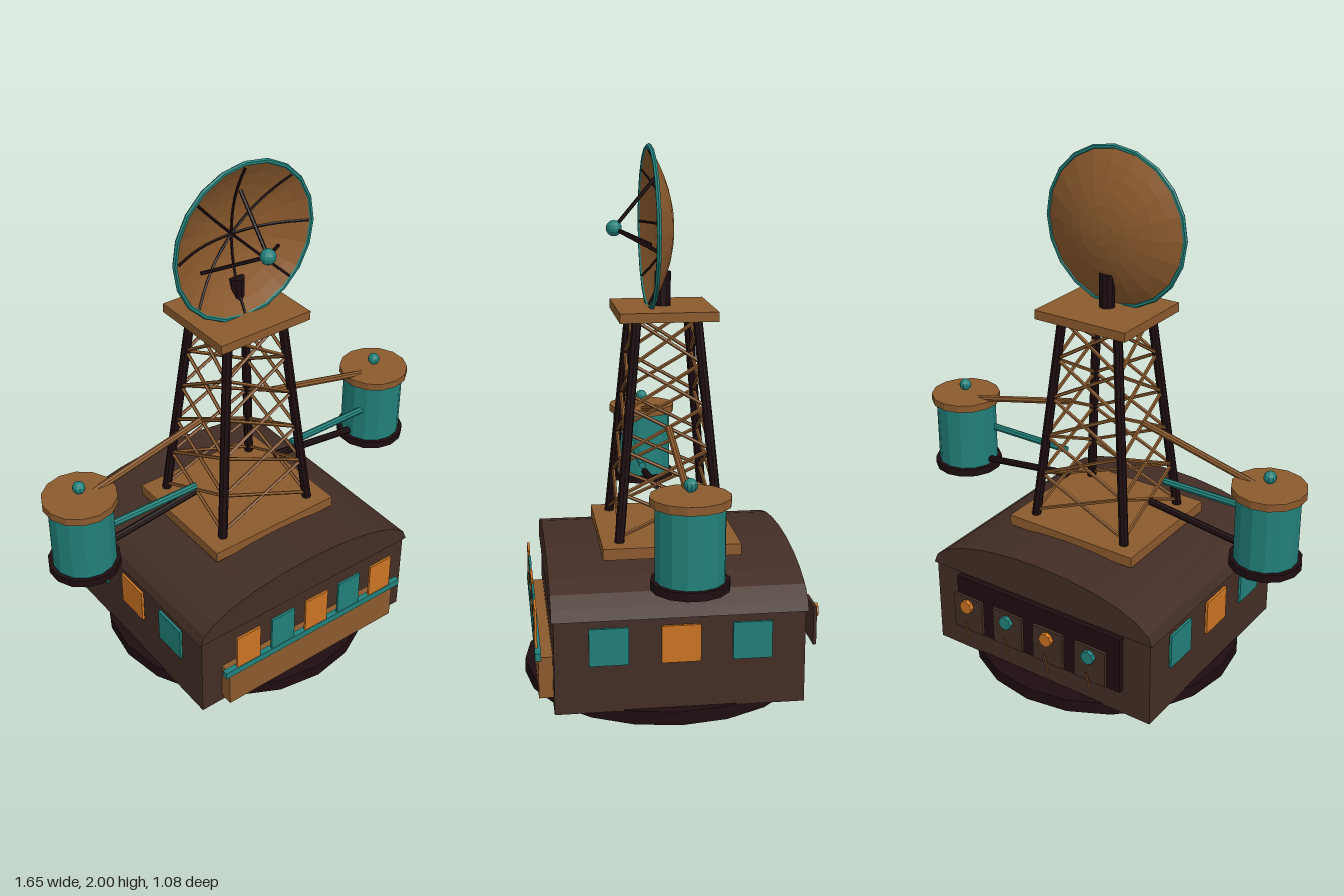
import * as THREE from 'three';

const flat = (name, color) => {
  const m = new THREE.MeshStandardMaterial({ color, flatShading: true });
  m.name = name;
  return m;
};

export function createModel() {
  const brown = flat('darkBrown', 0x422d25);
  const black = flat('nearBlack', 0x1e0d10);
  const tan = flat('tan', 0x8b5a2d);
  const teal = flat('teal', 0x21807a);
  const orange = flat('orange', 0xcb7422);

  const root = new THREE.Group();
  root.name = 'relayStation';
  const V = (x, y, z) => new THREE.Vector3(x, y, z);

  const add = (name, geo, mat, x = 0, y = 0, z = 0, parent = root) => {
    const m = new THREE.Mesh(geo, mat);
    m.name = name;
    m.position.set(x, y, z);
    parent.add(m);
    return m;
  };
  // box given by its min and max along each axis
  const box = (name, mat, x0, x1, y0, y1, z0, z1, parent) =>
    add(name, new THREE.BoxGeometry(x1 - x0, y1 - y0, z1 - z0), mat,
      (x0 + x1) / 2, (y0 + y1) / 2, (z0 + z1) / 2, parent);
  const drum = (name, mat, r, y0, y1, x, z, sides, parent) =>
    add(name, new THREE.CylinderGeometry(r, r, y1 - y0, sides), mat, x, (y0 + y1) / 2, z, parent);
  // straight rod between two points
  const rod = (name, mat, a, b, r, sides = 6, parent = root) => {
    const d = b.clone().sub(a);
    const m = add(name, new THREE.CylinderGeometry(r, r, d.length(), sides), mat, 0, 0, 0, parent);
    m.position.copy(a).add(b).multiplyScalar(0.5);
    m.quaternion.setFromUnitVectors(V(0, 1, 0), d.normalize());
    return m;
  };

  // round base and cabin
  drum('base', black, 0.535, 0, 0.05, 0, 0, 20);
  box('cabin', brown, -0.49, 0.49, 0.045, 0.4, -0.447, 0.447);

  // arched roof
  const arch = [];
  for (let i = 0; i <= 12; i++) {
    const a = (i / 12) * Math.PI;
    arch.push(new THREE.Vector2(0.5 * Math.cos(a), 0.39 + 0.157 * Math.sin(a)));
  }
  add('roof', new THREE.ExtrudeGeometry(new THREE.Shape(arch), { depth: 0.91, bevelEnabled: false }),
    brown, 0, 0, -0.455);

  // front counter, rail and windows
  box('counter', tan, -0.4, 0.4, 0.07, 0.225, 0.44, 0.498);
  box('counterRail', teal, -0.425, 0.425, 0.222, 0.25, 0.488, 0.51);
  for (let i = 0; i < 5; i++) {
    const x = (i - 2) * 0.16;
    box('frontWindow', i % 2 ? teal : orange, x - 0.053, x + 0.053, 0.25, 0.395, 0.499, 0.508);
  }

  // side windows
  for (const s of [-1, 1]) {
    [0.255, 0, -0.255].forEach((z, i) => {
      const w = box('sideWindow', i === 1 ? orange : teal, -0.005, 0.005, 0.225, 0.362, z - 0.07, z + 0.07);
      w.position.x = s * 0.498;
    });
  }

  // rear control panel with four dials
  box('rearPanel', black, -0.375, 0.375, 0.15, 0.38, -0.47, -0.44);
  [-0.28, -0.093, 0.093, 0.28].forEach((x, i) => {
    box('dialPlate', brown, x - 0.067, x + 0.067, 0.197, 0.343, -0.524, -0.512);
    const knob = add('dialKnob', new THREE.CylinderGeometry(0.027, 0.027, 0.018, 8),
      i % 2 ? orange : teal, x, 0.307, -0.532);
    knob.rotation.x = Math.PI / 2;
    rod('dialLever', tan, V(x - 0.008, 0.165, -0.533), V(x + 0.008, 0.235, -0.533), 0.004);
  });

  // lattice tower
  box('towerFoot', tan, -0.278, 0.278, 0.533, 0.575, -0.253, 0.253);
  box('towerTop', tan, -0.195, 0.195, 1.38, 1.415, -0.178, 0.178);
  const corners = [[1, 1], [-1, 1], [-1, -1], [1, -1]];
  const legPoint = ([sx, sz], t) =>
    V(sx * (0.203 - 0.083 * t), 0.57 + 0.815 * t, sz * (0.187 - 0.077 * t));
  const levels = 5;
  corners.forEach((c, k) => {
    rod('towerLeg', black, legPoint(c, 0), legPoint(c, 1), 0.018, 8);
    const n = corners[(k + 1) % 4];
    for (let i = 0; i < levels; i++) {
      const lo = 0.03 + (0.96 * i) / levels;
      const hi = 0.03 + (0.96 * (i + 1)) / levels;
      rod('crossBrace', tan, legPoint(c, lo), legPoint(n, hi), 0.007, 5);
      rod('crossBrace', tan, legPoint(n, lo), legPoint(c, hi), 0.007, 5);
    }
  });

  // side tanks with their arms
  for (const s of [-1, 1]) {
    const tank = new THREE.Group();
    tank.name = s > 0 ? 'leftTank' : 'rightTank';
    root.add(tank);
    const x = s * 0.693;
    drum('tankBody', teal, 0.119, 0.6, 0.87, x, 0, 14, tank);
    drum('tankBottom', black, 0.135, 0.573, 0.603, x, 0, 14, tank);
    drum('tankLid', tan, 0.137, 0.862, 0.891, x, 0, 14, tank);
    add('lidBall', new THREE.SphereGeometry(0.024, 10, 8), teal, x, 0.925, 0, tank);
    rod('upperArm', tan, V(s * 0.165, 0.99, 0), V(s * 0.64, 0.878, 0), 0.013, 8, tank);
    rod('feedPipe', teal, V(s * 0.228, 0.743, 0.05), V(s * 0.6, 0.743, 0.05), 0.014, 8, tank);
    rod('lowerArm', black, V(s * 0.19, 0.67, 0), V(s * 0.6, 0.618, 0), 0.014, 8, tank);
  }

  // dish: thin closed shell opening to the front
  const dish = new THREE.Group();
  dish.name = 'dish';
  dish.position.y = 1.698;
  root.add(dish);
  const R = 0.292;
  const bowl = (r) => -0.038 + 0.088 * (r / R) ** 2;
  const profile = [];
  for (let i = 0; i <= 6; i++) profile.push(new THREE.Vector2((R * i) / 6, bowl((R * i) / 6)));
  for (let i = 6; i >= 0; i--) profile.push(new THREE.Vector2((R * i) / 6, bowl((R * i) / 6) + 0.006));
  add('dishBowl', new THREE.LatheGeometry(profile, 20).rotateX(Math.PI / 2), tan, 0, 0, 0, dish);
  add('dishRim', new THREE.TorusGeometry(R, 0.009, 6, 20), teal, 0, 0, 0.05, dish);

  // ribs following the inside of the bowl
  for (let k = 0; k < 8; k++) {
    const a = (k * Math.PI) / 4;
    const pts = [0, 0.1, 0.19, 0.28].map((r) =>
      V(r * Math.cos(a), r * Math.sin(a), bowl(r) + 0.009));
    add('dishRib', new THREE.TubeGeometry(new THREE.CatmullRomCurve3(pts), 8, 0.005, 5), black, 0, 0, 0, dish);
  }

  // receiver on three struts
  add('receiver', new THREE.SphereGeometry(0.029, 12, 8), teal, 0, 0, 0.178, dish);
  for (const deg of [90, 205, 335]) {
    const a = (deg * Math.PI) / 180;
    rod('receiverStrut', black, V(0, 0, 0.178), V(0.185 * Math.cos(a), 0.185 * Math.sin(a), 0.022), 0.007, 6, dish);
  }
  drum('dishMount', black, 0.03, 1.41, 1.54, 0, 0, 10);

  return root;
}
